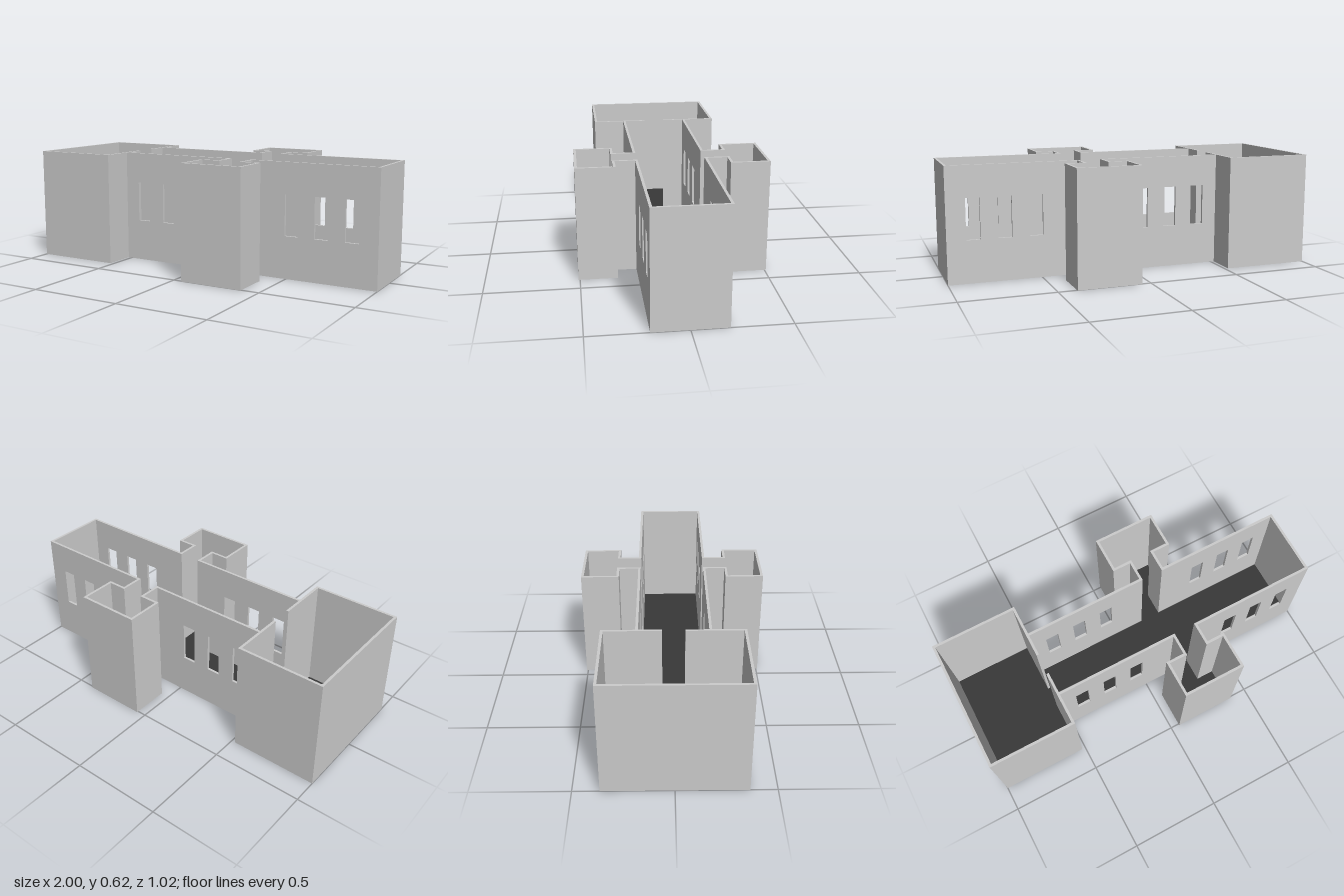
import * as THREE from 'three';

const H = 0.62;        // wall height
const T = 0.014;       // wall thickness
const SLAB = 0.005;    // floor slab thickness
const WIN = { w: 0.074, y0: 0.23, y1: 0.45 };

// Outer faces of the plan, mirrored front to back
const ROOM = { x0: -1, x1: -0.52, z: 0.365 };
const HALL = { x1: 1, z: 0.191 };
const ANNEX = { x0: 0.05, x1: 0.4, z0: 0.298, z1: 0.508 };
const LINK = { x0: 0.153, x1: 0.3 };

export function createModel() {
  const model = new THREE.Group();
  const grey = new THREE.MeshStandardMaterial({ color: 0xcccccc });
  const dark = new THREE.MeshStandardMaterial({ color: 0x383838 });

  const add = (name, geometry, material = grey) => {
    const mesh = new THREE.Mesh(geometry, material);
    mesh.name = name;
    model.add(mesh);
  };

  // Wall running along x, from z to z + T, with window holes centred on the given x
  const wallX = (name, x0, x1, z, windows = []) => {
    const shape = new THREE.Shape([[x0, SLAB], [x1, SLAB], [x1, H], [x0, H]].map(p => new THREE.Vector2(...p)));
    for (const c of windows) {
      const a = c - WIN.w / 2, b = c + WIN.w / 2;
      shape.holes.push(new THREE.Path(
        [[a, WIN.y0], [a, WIN.y1], [b, WIN.y1], [b, WIN.y0]].map(p => new THREE.Vector2(...p))));
    }
    add(name, new THREE.ExtrudeGeometry(shape, { depth: T, bevelEnabled: false }).translate(0, 0, z));
  };

  // Plain wall running along z, from x to x + T
  const wallZ = (name, x, za, zb) => {
    const geometry = new THREE.BoxGeometry(T, H - SLAB, Math.abs(zb - za));
    add(name, geometry.translate(x + T / 2, (H + SLAB) / 2, (za + zb) / 2));
  };

  // Floor: half of the outline, then its mirror image
  const half = [
    [ROOM.x0, ROOM.z], [ROOM.x1, ROOM.z], [ROOM.x1, HALL.z], [LINK.x0, HALL.z],
    [LINK.x0, ANNEX.z0], [ANNEX.x0, ANNEX.z0], [ANNEX.x0, ANNEX.z1], [ANNEX.x1, ANNEX.z1],
    [ANNEX.x1, ANNEX.z0], [LINK.x1, ANNEX.z0], [LINK.x1, HALL.z], [HALL.x1, HALL.z],
  ];
  const outline = [...half, ...half.map(([x, z]) => [x, -z]).reverse()];
  const plan = new THREE.Shape(outline.map(p => new THREE.Vector2(...p)));
  add('floorSlab', new THREE.ExtrudeGeometry(plan, { depth: SLAB, bevelEnabled: false })
    .rotateX(Math.PI / 2).translate(0, SLAB, 0));
  add('floorSurface', new THREE.ShapeGeometry(plan).rotateX(-Math.PI / 2).translate(0, SLAB + 0.001, 0), dark);

  // End walls
  wallZ('largeRoomEndWall', ROOM.x0, -ROOM.z + T, ROOM.z - T);
  wallZ('hallEndWall', HALL.x1 - T, -HALL.z + T, HALL.z - T);

  // Everything that repeats on the front (s = 1) and back (s = -1)
  for (const s of [1, -1]) {
    const side = s > 0 ? 'front' : 'back';
    const inset = z => (s > 0 ? z - T : -z);   // wall just inside the face at z
    const beyond = z => (s > 0 ? z : -z - T);  // wall just outside the face at z

    // Large room, with the doorway left between the two partitions
    wallX(side + 'LargeRoomWall', ROOM.x0, ROOM.x1, inset(ROOM.z));
    wallZ(side + 'DoorwayPartition', ROOM.x1 - T, s * 0.058, s * (ROOM.z - T));

    // Hall walls with three windows on either side of the link
    wallX(side + 'HallWallLeft', ROOM.x1, LINK.x0 + T, inset(HALL.z), [-0.402, -0.235, -0.068]);
    wallX(side + 'HallWallRight', LINK.x1 - T, HALL.x1, inset(HALL.z), [0.527, 0.694, 0.861]);

    // Narrow link to the annex
    wallZ(side + 'LinkWallLeft', LINK.x0, s * HALL.z, s * ANNEX.z0);
    wallZ(side + 'LinkWallRight', LINK.x1 - T, s * HALL.z, s * ANNEX.z0);

    // Annex
    wallX(side + 'AnnexInnerWallLeft', ANNEX.x0, LINK.x0 + T, beyond(ANNEX.z0));
    wallX(side + 'AnnexInnerWallRight', LINK.x1 - T, ANNEX.x1, beyond(ANNEX.z0));
    wallX(side + 'AnnexOuterWall', ANNEX.x0, ANNEX.x1, inset(ANNEX.z1));
    for (const [label, x] of [['Left', ANNEX.x0], ['Right', ANNEX.x1 - T]])
      wallZ(side + 'AnnexSideWall' + label, x, s * (ANNEX.z0 + T), s * (ANNEX.z1 - T));
  }
  return model;
}
